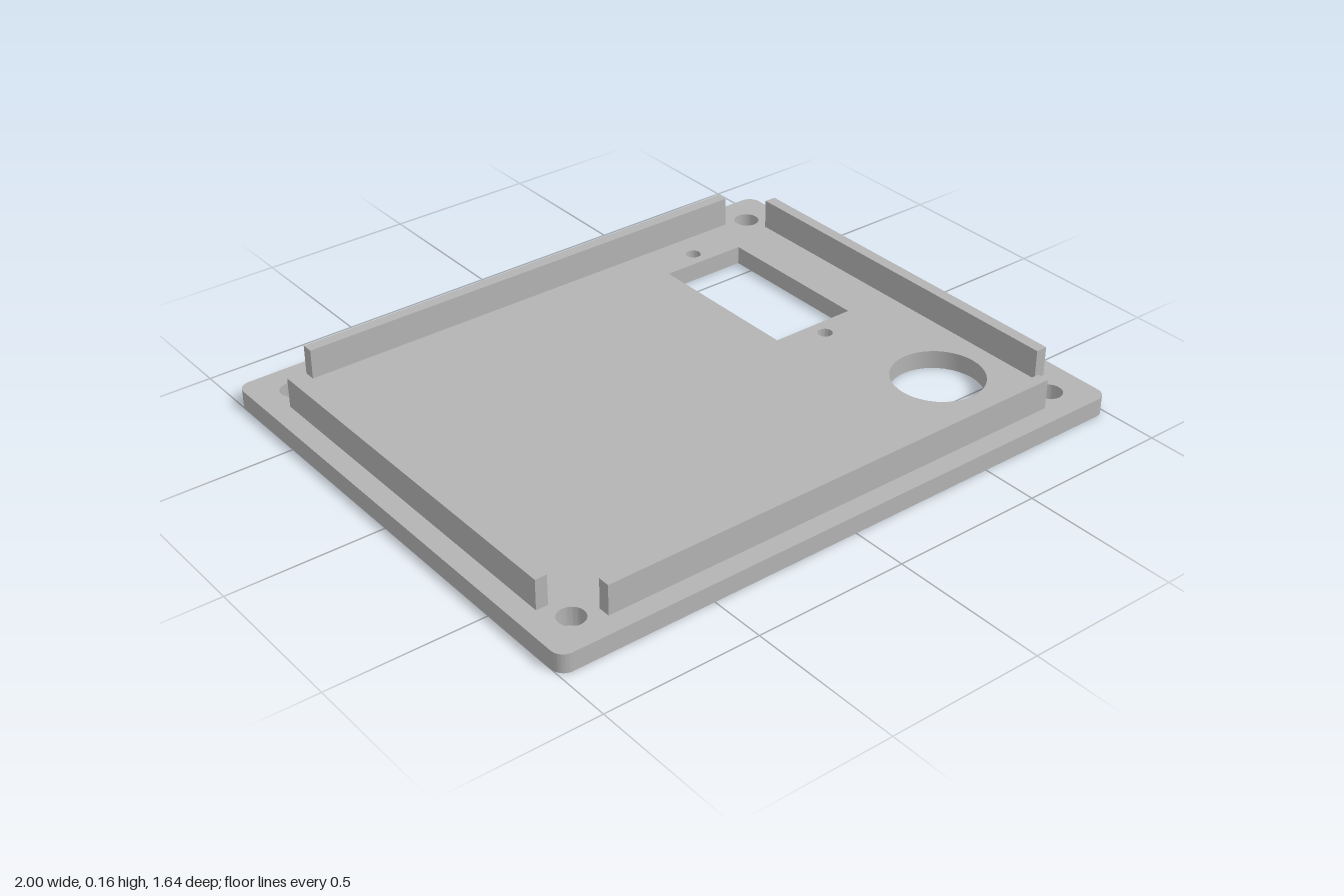
import * as THREE from 'three';
import { toCreasedNormals } from 'three/addons/utils/BufferGeometryUtils.js';

const HALF_W = 1, HALF_D = 0.82, CORNER = 0.04;
const PLATE_H = 0.06, WALL_TOP = 0.157, WALL_T = 0.038;

// Rounded rectangle outline of the plate
function plateOutline() {
  const w = HALF_W, d = HALF_D, r = CORNER;
  const s = new THREE.Shape();
  s.moveTo(-w + r, -d);
  s.absarc(w - r, -d + r, r, -Math.PI / 2, 0, false);
  s.absarc(w - r, d - r, r, 0, Math.PI / 2, false);
  s.absarc(-w + r, d - r, r, Math.PI / 2, Math.PI, false);
  s.absarc(-w + r, -d + r, r, Math.PI, Math.PI * 1.5, false);
  return s;
}

// Holes are given in model x and z; the shape's y is -z
function roundHole(x, z, r) {
  return new THREE.Path().absarc(x, -z, r, 0, Math.PI * 2, true);
}

function rectHole(x0, x1, z0, z1) {
  return new THREE.Path([[x0, z0], [x0, z1], [x1, z1], [x1, z0]]
    .map(([x, z]) => new THREE.Vector2(x, -z)));
}

export function createModel() {
  const group = new THREE.Group();
  group.name = 'enclosureLid';
  const grey = new THREE.MeshStandardMaterial({ color: 0xb3b3b3 });
  grey.name = 'plainGrey';

  // Base plate with screw holes, socket cut-out and round opening
  const shape = plateOutline();
  for (const x of [-0.877, 0.877])
    for (const z of [-0.7, 0.7]) shape.holes.push(roundHole(x, z, 0.041));
  shape.holes.push(
    rectHole(0.438, 0.732, -0.567, -0.027),
    roundHole(0.585, -0.622, 0.024),
    roundHole(0.585, 0.029, 0.024),
    roundHole(0.68, 0.432, 0.146)
  );
  const plateGeo = new THREE.ExtrudeGeometry(shape, { depth: PLATE_H, bevelEnabled: false, curveSegments: 20 });
  plateGeo.rotateX(-Math.PI / 2);
  const plate = new THREE.Mesh(toCreasedNormals(plateGeo, Math.PI / 5), grey);
  plate.name = 'basePlate';
  group.add(plate);

  // Four locating walls standing on the plate
  const wallH = WALL_TOP - PLATE_H;
  function addWall(name, w, d, x, z) {
    const wall = new THREE.Mesh(new THREE.BoxGeometry(w, wallH, d), grey);
    wall.position.set(x, PLATE_H + wallH / 2, z);
    wall.name = name;
    group.add(wall);
  }
  addWall('frontWall', 1.6, WALL_T, 0, 0.737);
  addWall('backWall', 1.6, WALL_T, 0, -0.737);
  addWall('leftWall', WALL_T, 1.246, 0.914, 0);
  addWall('rightWall', WALL_T, 1.246, -0.914, 0);

  return group;
}
